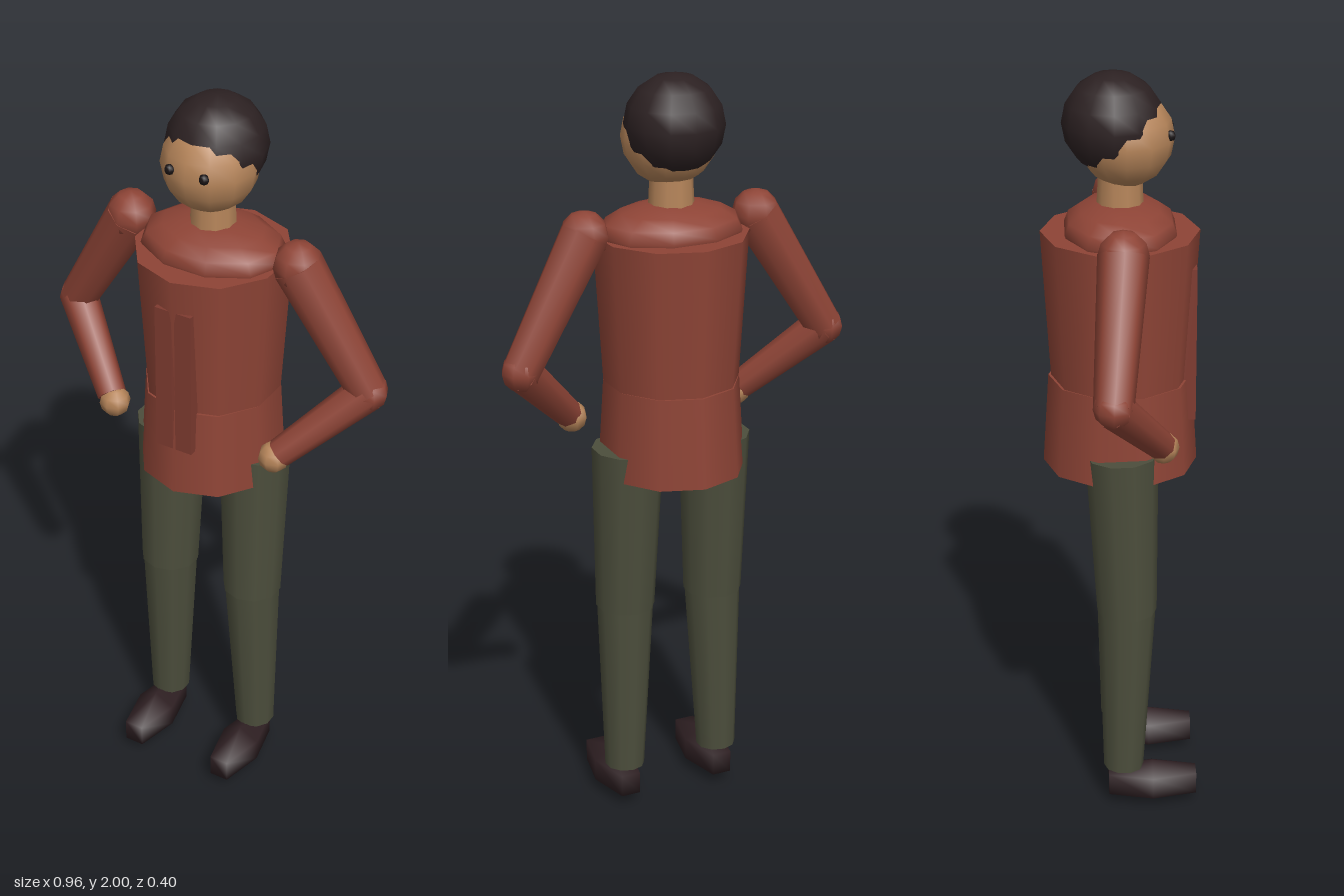
import * as THREE from 'three';

export function createModel() {
  const group = new THREE.Group();
  const material = (name, color) => {
    const m = new THREE.MeshStandardMaterial({ color });
    m.name = name;
    return m;
  };
  const jacket = material('jacket', 0x8e4436);
  const placket = material('placket', 0x7f3b30);
  const skin = material('skin', 0xb58459);
  const trousers = material('trousers', 0x4c4e3c);
  const hair = material('hair', 0x2c2122);
  const shoe = material('shoe', 0x2f2023);
  const eye = material('eye', 0x1a1415);

  const add = (name, geometry, mat, x = 0, y = 0, z = 0) => {
    const mesh = new THREE.Mesh(geometry, mat);
    mesh.name = name;
    mesh.position.set(x, y, z);
    group.add(mesh);
    return mesh;
  };
  const ball = (name, mat, r, x, y, z, w = 12, h = 8) =>
    add(name, new THREE.SphereGeometry(r, w, h), mat, x, y, z);

  // Tapered limb from a to b
  const limb = (name, mat, a, b, rA, rB, sides = 8) => {
    const from = new THREE.Vector3(...a), to = new THREE.Vector3(...b);
    const axis = from.clone().sub(to);
    const mesh = add(name, new THREE.CylinderGeometry(rA, rB, axis.length(), sides), mat);
    mesh.position.copy(from).add(to).multiplyScalar(0.5);
    mesh.quaternion.setFromUnitVectors(new THREE.Vector3(0, 1, 0), axis.normalize());
    return mesh;
  };

  // Jacket body
  limb('upperTorso', jacket, [0, 1.59, 0], [0, 1.2, 0], 0.2, 0.176, 10).scale.z = 1.01;
  limb('jacketHem', jacket, [0, 1.2, 0], [0, 0.96, 0], 0.176, 0.19, 10).scale.z = 1.05;
  ball('shoulderYoke', jacket, 1, 0, 1.597, 0, 10, 8).scale.set(0.195, 0.075, 0.147);

  // Head
  limb('neck', skin, [0, 1.74, 0], [0, 1.64, 0], 0.055, 0.06, 10);
  ball('head', skin, 0.123, 0, 1.833, 0.013);
  ball('hair', hair, 0.128, 0, 1.872, -0.018);

  for (const s of [-1, 1]) {
    const side = s > 0 ? 'left' : 'right';
    ball(side + 'Eye', eye, 0.014, s * 0.048, 1.85, 0.122, 6, 4);
    add(side + 'Placket', new THREE.BoxGeometry(0.047, 0.41, 0.04), placket, s * 0.028, 1.295, 0.173);

    // Arm bent with the hand resting at the hip
    const shoulder = [s * 0.24, 1.61, 0];
    const elbow = [s * 0.43, 1.29, -0.03];
    const wrist = [s * 0.25, 1.11, 0.095];
    ball(side + 'Shoulder', jacket, 0.064, ...shoulder, 8, 6);
    limb(side + 'UpperArm', jacket, shoulder, elbow, 0.064, 0.05);
    ball(side + 'Elbow', jacket, 0.051, ...elbow, 8, 6);
    limb(side + 'Forearm', jacket, elbow, wrist, 0.05, 0.038);
    ball(side + 'Hand', skin, 0.041, s * 0.238, 1.098, 0.1, 8, 6);

    // Leg
    limb(side + 'Thigh', trousers, [s * 0.125, 1.03, 0], [s * 0.129, 0.58, 0.014], 0.094, 0.078, 10);
    limb(side + 'Shin', trousers, [s * 0.129, 0.585, 0.014], [s * 0.138, 0.11, 0.005], 0.075, 0.053, 10);
    ball(side + 'Shoe', shoe, 1, s * 0.138, 0.06, 0.083, 6, 3).scale.set(0.061, 0.06, 0.157);
  }
  return group;
}
